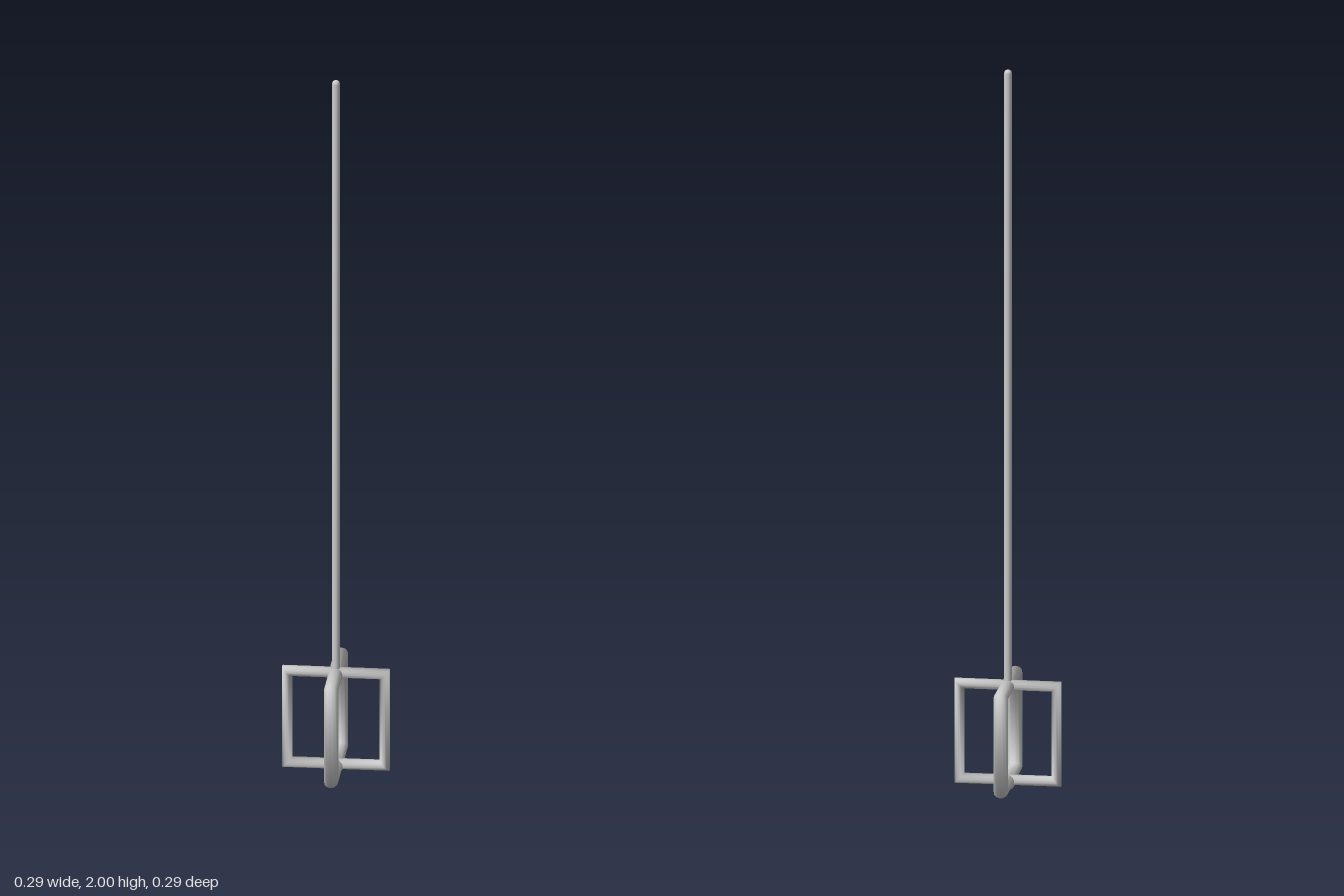
import * as THREE from 'three';

export function createModel() {
  const group = new THREE.Group();
  const material = new THREE.MeshStandardMaterial({ color: 0xcccccc });

  function add(name, geometry, y) {
    const mesh = new THREE.Mesh(geometry, material);
    mesh.name = name;
    mesh.position.y = y;
    group.add(mesh);
    return mesh;
  }

  // Long slim shaft with a rounded tip, ending at the top of the frames
  const shaftRadius = 0.0105, shaftTop = 2, shaftBottom = 0.28;
  add('shaft',
    new THREE.CapsuleGeometry(shaftRadius, shaftTop - shaftBottom - 2 * shaftRadius, 6, 16),
    (shaftTop + shaftBottom) / 2);

  // Two crossed square loops: four-sided rings turned to stand on a flat side
  const loop = new THREE.TorusGeometry(0.186, 0.0195, 12, 4).rotateZ(Math.PI / 4);
  ['sideLoop', 'frontBackLoop'].forEach((name, i) => {
    add(name, loop, 0.16).rotation.y = i * Math.PI / 2;
  });

  // Small ball where the loops cross at the bottom
  add('bottomBall', new THREE.SphereGeometry(0.019, 16, 12), 0.019);

  return group;
}
